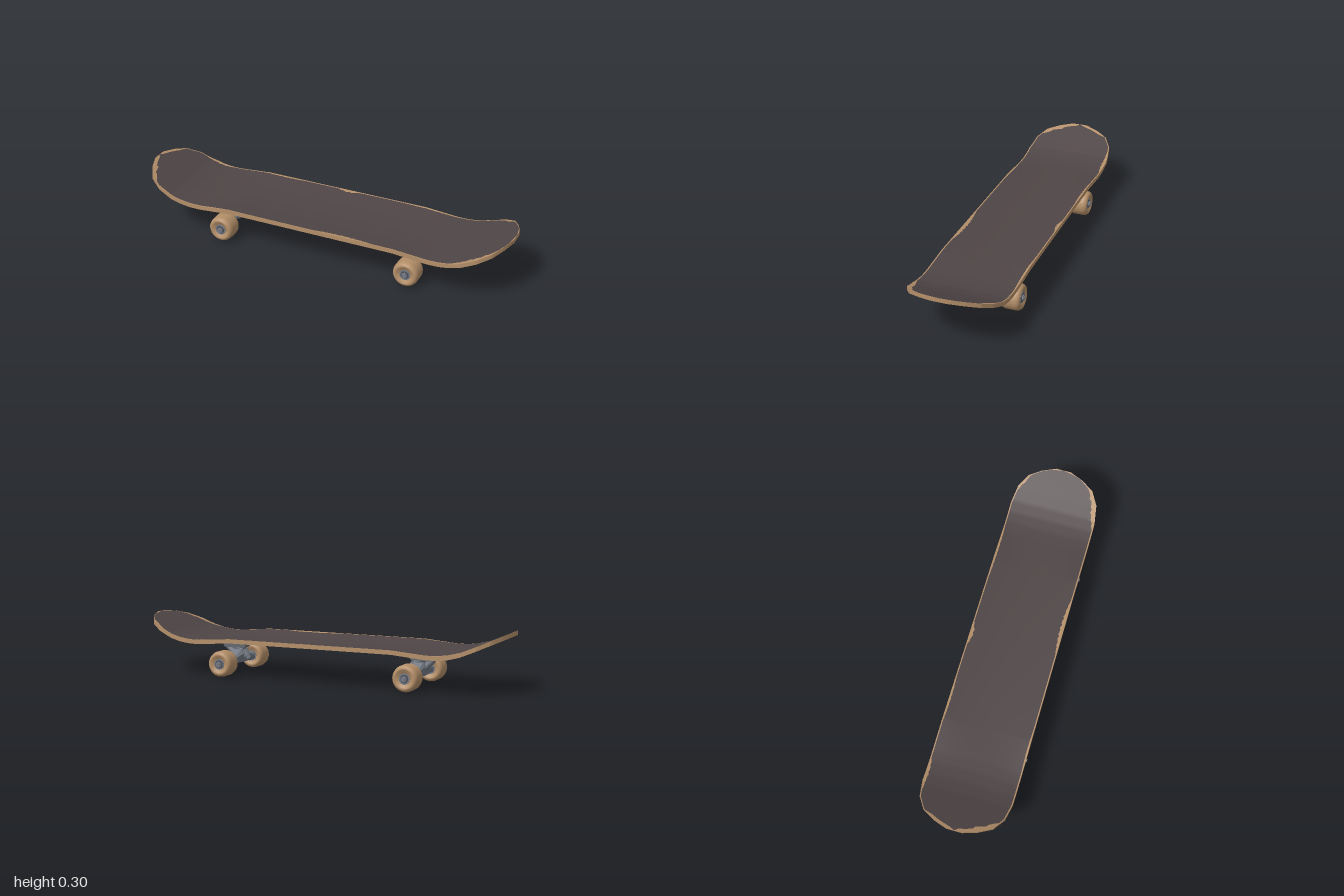
import * as THREE from 'three';
import { ConvexGeometry } from 'three/addons/geometries/ConvexGeometry.js';

const mat = (name, color, side = THREE.FrontSide) => {
  const m = new THREE.MeshStandardMaterial({ color, side });
  m.name = name;
  return m;
};

// Piecewise linear lookup in [[x, y], ...]
const lerpTable = (table, x) => {
  for (let i = 1; i < table.length; i++) {
    const [x0, y0] = table[i - 1], [x1, y1] = table[i];
    if (x <= x1) return y0 + (y1 - y0) * (x - x0) / (x1 - x0);
  }
  return table[table.length - 1][1];
};

// Surface over a list of u and v values
function grid(us, vs, f) {
  const pos = [], idx = [], n = vs.length;
  us.forEach((u, i) => vs.forEach((v, j) => {
    pos.push(...f(u, v));
    if (i && j) {
      const a = (i - 1) * n + j - 1, b = a + n;
      idx.push(a, a + 1, b, b, a + 1, b + 1);
    }
  }));
  const g = new THREE.BufferGeometry();
  g.setAttribute('position', new THREE.Float32BufferAttribute(pos, 3));
  g.setIndex(idx);
  g.computeVertexNormals();
  return g;
}

// Deck shape rules
const THICK = 0.022;
const OUTLINE = [[0, 0.23], [0.7875, 0.23], [0.875, 0.215], [0.9375, 0.175], [0.975, 0.11], [1, 0.04]];
const KICK = [[0, 0.188], [0.62, 0.188], [0.68, 0.19], [0.74, 0.198], [0.8, 0.214], [0.86, 0.239], [1, 0.301]];
const DISH = [[0, 0.017], [0.45, 0.017], [0.63, 0.002], [0.7, 0], [1, 0]];
const halfWidth = (x) => lerpTable(OUTLINE, Math.abs(x));
const topY = (x, z) => lerpTable(KICK, Math.abs(x)) + lerpTable(DISH, Math.abs(x)) * (z / 0.23) ** 2;

// Worn patches along the grip edge: centre x, side, half length, depth
const WEAR = [
  [0.18, 1, 0.16, 0.017], [0.86, 1, 0.11, 0.026], [-0.97, 1, 0.07, 0.06], [-0.5, 1, 0.1, 0.004],
  [-0.75, -1, 0.09, 0.014], [0.02, -1, 0.06, 0.016], [-0.35, -1, 0.12, 0.006],
  [0.5, -1, 0.16, 0.006], [0.9, -1, 0.05, 0.012], [-0.98, -1, 0.04, 0.045],
];
function inset(x, side) {
  let d = 0.006;
  for (const [cx, s, len, depth] of WEAR) {
    const t = Math.abs(x - cx) / len;
    if (s === side && t < 1) d += depth * (1 - t * t) * (0.8 + 0.2 * Math.sin(x * 190));
  }
  return Math.abs(x) > 0.995 ? halfWidth(x) : Math.min(d, halfWidth(x));
}

export function createModel() {
  const wood = mat('tan wood', 0xb48f69);
  const grip = mat('dark grip', 0x4f4546);
  const metal = mat('grey metal', 0x747a84);
  const dark = mat('dark steel', 0x4b4e58);
  const root = new THREE.Group();
  root.name = 'skateboard';

  const add = (parent, name, geometry, material, p = [0, 0, 0]) => {
    const m = new THREE.Mesh(geometry, material);
    m.name = name;
    m.position.set(...p);
    parent.add(m);
    return m;
  };

  // Deck
  const deck = new THREE.Group();
  deck.name = 'deck';
  root.add(deck);
  const xs = Array.from({ length: 161 }, (_, i) => -1 + i / 80);
  const across = Array.from({ length: 13 }, (_, i) => -1 + i / 6);
  add(deck, 'gripSurface', grid(xs, across, (x, v) => {
    const z = v * (halfWidth(x) - inset(x, v < 0 ? -1 : 1));
    return [x, topY(x, z), z];
  }), grip);
  for (const side of [-1, 1]) {
    add(deck, side > 0 ? 'frontWornRim' : 'backWornRim', grid(xs, side > 0 ? [0, 1] : [1, 0], (x, v) => {
      const z = side * (halfWidth(x) - (1 - v) * inset(x, side));
      return [x, topY(x, z), z];
    }), wood);
  }
  add(deck, 'underside', grid(xs, [...across].reverse(), (x, v) => {
    const z = v * halfWidth(x);
    return [x, topY(x, z) - THICK, z];
  }), wood);
  const rim = [...xs.map((x) => [x, halfWidth(x)]), ...[...xs].reverse().map((x) => [x, -halfWidth(x)])];
  rim.push(rim[0]);
  add(deck, 'edge', grid(rim, [0, 1], ([x, z], v) => [x, topY(x, z) - v * THICK, z]), wood);

  // Cylinder between two points
  const rod = (parent, name, a, b, r, material, sides = 20, r2 = r) => {
    const A = new THREE.Vector3(...a), B = new THREE.Vector3(...b), d = B.clone().sub(A);
    const m = add(parent, name, new THREE.CylinderGeometry(r2, r, d.length(), sides), material);
    m.position.copy(A).add(B).multiplyScalar(0.5);
    m.quaternion.setFromUnitVectors(new THREE.Vector3(0, 1, 0), d.normalize());
    return m;
  };
  const hull = (pts) => new ConvexGeometry(pts.map((p) => new THREE.Vector3(...p)));
  const rect = (x0, x1, y, z) => [[x0, y, z], [x1, y, z], [x0, y, -z], [x1, y, -z]];

  // Wheel, with its axis along y and the outer face up
  const wheelProfile = [
    [0.026, 0.012], [0.044, 0.004], [0.05, 0.001], [0.058, 0.004], [0.064, 0.012], [0.067, 0.024],
    [0.067, 0.076], [0.064, 0.088], [0.058, 0.096], [0.05, 0.099], [0.044, 0.097], [0.026, 0.088],
  ].map(([r, y]) => new THREE.Vector2(r, y));
  const wheelGeo = new THREE.LatheGeometry(wheelProfile, 36);
  function wheel(side) {
    const w = new THREE.Group();
    w.name = 'wheel';
    add(w, 'tyre', wheelGeo, wood);
    rod(w, 'bearing', [0, 0.009, 0], [0, 0.093, 0], 0.028, metal, 24);
    rod(w, 'bearingShield', [0, 0.007, 0], [0, 0.095, 0], 0.021, dark, 24);
    rod(w, 'axleNut', [0, 0.09, 0], [0, 0.102, 0], 0.016, metal, 6);
    rod(w, 'axleEnd', [0, 0.1, 0], [0, 0.106, 0], 0.008, metal, 12);
    w.position.set(0.515, 0.067, side * 0.122);
    w.rotation.x = side * Math.PI / 2;
    return w;
  }

  // Truck with its two wheels
  function truck(name) {
    const t = new THREE.Group();
    t.name = name;
    add(t, 'basePlate', new THREE.BoxGeometry(0.17, 0.01, 0.11), metal, [0.525, 0.163, 0]);
    add(t, 'baseBlock', hull([...rect(0.448, 0.602, 0.16, 0.034), ...rect(0.475, 0.59, 0.13, 0.025)]), metal);
    add(t, 'hanger', hull([
      ...rect(0.49, 0.54, 0.122, 0.025), ...rect(0.475, 0.55, 0.1, 0.03),
      ...rect(0.5, 0.53, 0.07, 0.118), ...rect(0.485, 0.545, 0.055, 0.035),
    ]), metal);
    rod(t, 'axleHousing', [0.515, 0.07, -0.124], [0.515, 0.07, 0.124], 0.022, metal);
    rod(t, 'upperBushing', [0.525, 0.145, 0], [0.497, 0.115, 0], 0.027, metal);
    rod(t, 'lowerBushing', [0.49, 0.108, 0], [0.465, 0.083, 0], 0.026, metal, 20, 0.02);
    rod(t, 'kingpin', [0.47, 0.088, 0], [0.449, 0.067, 0], 0.009, dark, 12);
    rod(t, 'kingpinNut', [0.467, 0.085, 0], [0.456, 0.074, 0], 0.015, metal, 6);
    rod(t, 'pivot', [0.53, 0.085, 0], [0.588, 0.138, 0], 0.019, metal, 16, 0.014);
    for (const side of [-1, 1]) {
      for (const x of [0.46, 0.59]) {
        rod(t, 'mountingNut', [x, 0.152, side * 0.043], [x, 0.16, side * 0.043], 0.009, dark, 6);
      }
      t.add(wheel(side));
    }
    root.add(t);
    return t;
  }
  truck('leftTruck');
  truck('rightTruck').rotation.y = Math.PI;

  return root;
}
